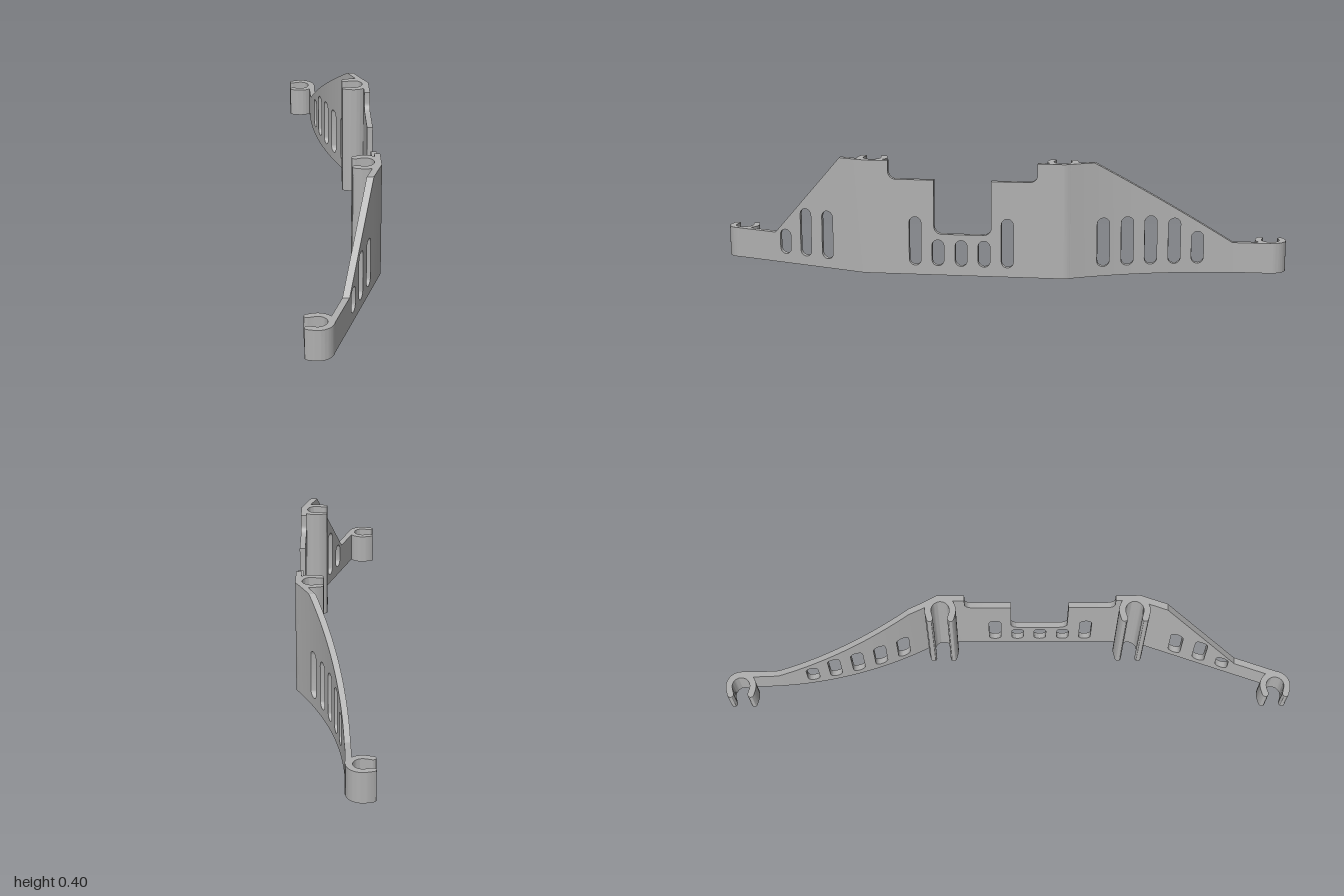
import * as THREE from 'three';
import { toCreasedNormals } from 'three/addons/utils/BufferGeometryUtils.js';

const Z0 = -0.947, Z1 = 0.955, R = 0.021;

// plan: straight front wing, flat centre, curved rear wing
const arcX = (z, r) => 1.31 - Math.sqrt(r * r - (z + 0.904) ** 2);
const outerX = z => Math.min(0.132, 0.01 - 0.349 * (z - 0.805), z < 0 ? arcX(z, 1.35) : 1);
const innerX = z => Math.min(0.112, -0.013 - 0.349 * (z - 0.805), z < 0 ? arcX(z, 1.37) : 1);

// concave rounded corner, from angle a to b in degrees
function fillet(cz, cy, a, b) {
  const out = [];
  for (let i = 0; i <= 6; i++) {
    const t = THREE.MathUtils.degToRad(a + (b - a) * i / 6);
    out.push([cz + 0.027 * Math.cos(t), cy + 0.027 * Math.sin(t)]);
  }
  return out;
}

// top edge [z, y], rear to front, with the stepped notch
const top = [
  [Z0, 0.107], [-0.815, 0.107], [-0.34, 0.4], [-0.15, 0.4],
  ...fillet(-0.123, 0.362, 180, 270),
  [0.01, 0.335], ...fillet(0.037, 0.172, 180, 270),
  ...fillet(0.183, 0.172, 270, 360), [0.21, 0.335],
  ...fillet(0.343, 0.362, 270, 360),
  [0.37, 0.4], [0.547, 0.4], [0.805, 0.107], [Z1, 0.107],
];

// slots [centre z, top y]
const slots = [
  [-0.694, 0.147], [-0.614, 0.195], [-0.533, 0.205], [-0.453, 0.205], [-0.372, 0.205],
  [-0.046, 0.205], [0.035, 0.125], [0.115, 0.125], [0.196, 0.125], [0.276, 0.205],
  [0.598, 0.205], [0.683, 0.205], [0.764, 0.122],
];
const SLOT_LO = 0.033;

function wallGeometry() {
  const pos = [];
  const quad = (a, b, c, d) => pos.push(...a, ...b, ...c, ...a, ...c, ...d);
  // upright face across the wall thickness
  const cross = (z, lo, hi, sign) => {
    const i = innerX(z), o = outerX(z);
    const p = [[i, lo, z], [o, lo, z], [o, hi, z], [i, hi, z]];
    quad(...(sign > 0 ? p : p.reverse()));
  };
  // solid block between two stations
  const span = (a, b, la, ha, lb, hb) => {
    const oa = outerX(a), ob = outerX(b), ia = innerX(a), ib = innerX(b);
    quad([oa, la, a], [oa, ha, a], [ob, hb, b], [ob, lb, b]);
    quad([ib, lb, b], [ib, hb, b], [ia, ha, a], [ia, la, a]);
    quad([ia, ha, a], [ib, hb, b], [ob, hb, b], [oa, ha, a]);
    quad([oa, la, a], [ob, lb, b], [ib, lb, b], [ia, la, a]);
  };

  // stations along the wall
  let zs = [-0.245, -0.239, 0.447, 0.4555, ...top.map(p => p[0])];
  for (let i = 1; i < 28; i++) zs.push(Z0 + (-0.245 - Z0) * i / 28);
  for (const [c] of slots)
    for (let i = 0; i <= 10; i++) zs.push(c - R * Math.cos(Math.PI * i / 10));
  zs = zs.sort((a, b) => a - b).filter((z, i, all) => i === 0 || z - all[i - 1] > 1e-7);

  for (let i = 0; i < zs.length - 1; i++) {
    const a = zs[i], b = zs[i + 1], m = (a + b) / 2;
    const k = top.findIndex((p, j) => j < top.length - 1 && p[0] <= m && top[j + 1][0] > m);
    const [p, q] = [top[k], top[k + 1]];
    const edge = z => p[1] + (q[1] - p[1]) * (z - p[0]) / (q[0] - p[0]);
    const slot = slots.find(s => Math.abs(m - s[0]) < R);
    if (!slot) {
      span(a, b, 0, edge(a), 0, edge(b));
      continue;
    }
    const cap = z => R - Math.sqrt(Math.max(0, R * R - (z - slot[0]) ** 2));
    span(a, b, 0, SLOT_LO + cap(a), 0, SLOT_LO + cap(b));
    span(a, b, slot[1] - cap(a), edge(a), slot[1] - cap(b), edge(b));
  }

  // slot sides, notch sides and ends
  for (const [c, hi] of slots) {
    cross(c - R, SLOT_LO + R, hi - R, 1);
    cross(c + R, SLOT_LO + R, hi - R, -1);
  }
  for (let i = 0; i < top.length - 1; i++) {
    const [p, q] = [top[i], top[i + 1]];
    if (Math.abs(p[0] - q[0]) < 1e-7 && p[1] !== q[1])
      cross(p[0], Math.min(p[1], q[1]), Math.max(p[1], q[1]), p[1] > q[1] ? 1 : -1);
  }
  cross(Z0, 0, 0.107, -1);
  cross(Z1, 0, 0.107, 1);

  const g = new THREE.BufferGeometry();
  g.setAttribute('position', new THREE.Float32BufferAttribute(pos, 3));
  return toCreasedNormals(g, 0.5);
}

// C-shaped clip open towards -x, with rounded tips
function clipGeometry(height) {
  const mid = 0.0425, h = 0.0112, len = 0.02, A = THREE.MathUtils.degToRad(105);
  const tx = mid * Math.cos(A) - len * Math.sin(A);
  const ty = mid * Math.sin(A) + len * Math.cos(A);
  const s = new THREE.Shape();
  s.absarc(0, 0, mid + h, -A, A, false);
  s.absarc(tx, ty, h, A, A + Math.PI, false);
  s.absarc(0, 0, mid - h, A, -A, true);
  s.absarc(tx, -ty, h, Math.PI - A, 2 * Math.PI - A, false);
  const g = new THREE.ExtrudeGeometry(s, { depth: height, bevelEnabled: false, curveSegments: 24 });
  g.rotateX(-Math.PI / 2);
  return toCreasedNormals(g, 0.6);
}

export function createModel() {
  const grey = new THREE.MeshStandardMaterial({ color: 0xb0b0b0 });
  grey.name = 'grey plastic';
  const group = new THREE.Group();
  group.name = 'bracket';
  const add = (name, geometry, x = 0, z = 0) => {
    const mesh = new THREE.Mesh(geometry, grey);
    mesh.name = name;
    mesh.position.set(x, 0, z);
    group.add(mesh);
  };

  add('slottedWall', wallGeometry());
  add('rearEndClip', clipGeometry(0.107), -0.095, -0.9463);
  add('frontEndClip', clipGeometry(0.107), -0.095, 0.9463);
  add('rearTallClip', clipGeometry(0.4), 0.078, -0.232);
  add('frontTallClip', clipGeometry(0.4), 0.078, 0.434);
  return group;
}
